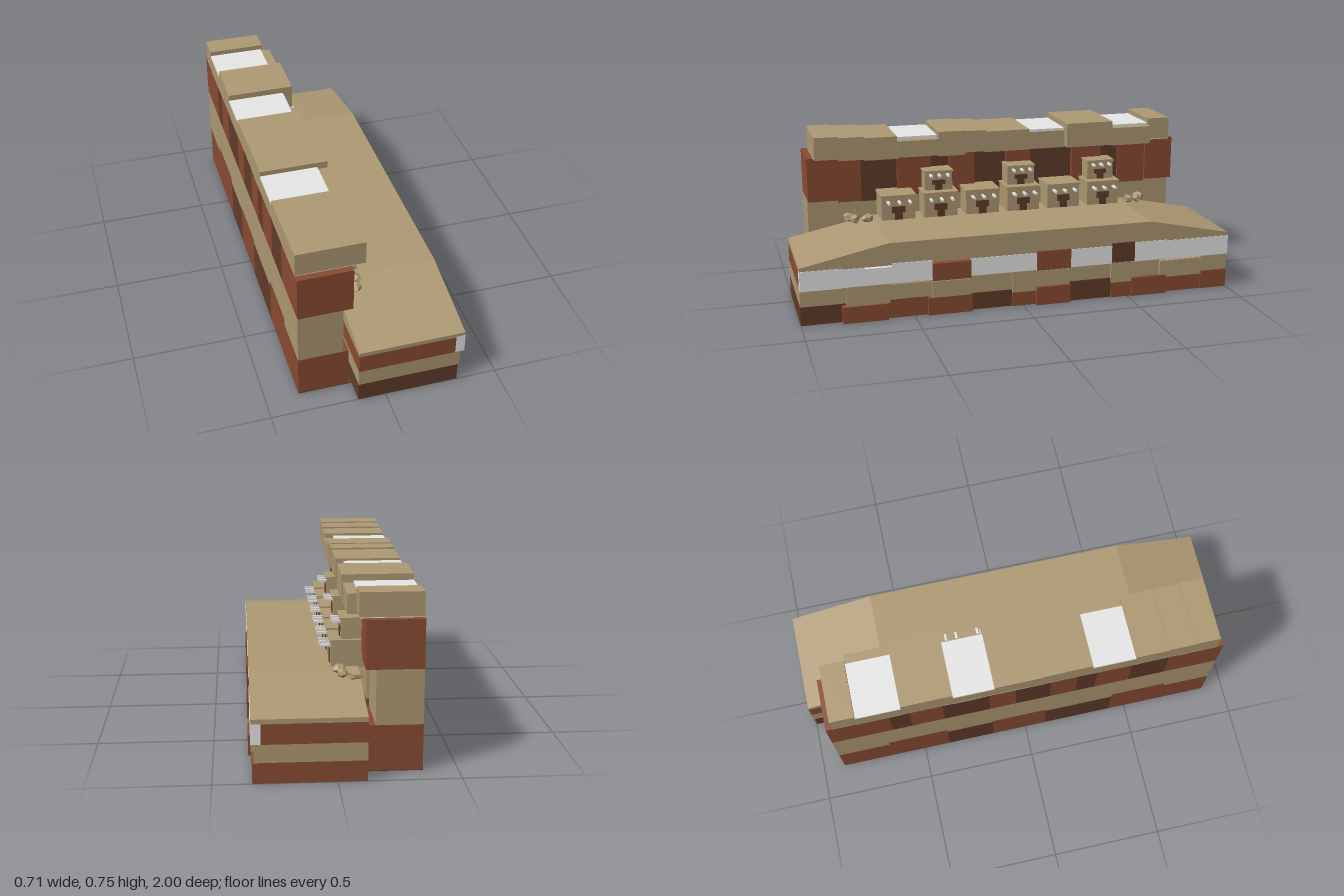
import * as THREE from 'three';

const mat = (name, color) => {
  const m = new THREE.MeshStandardMaterial({ color });
  m.name = name;
  return m;
};

export function createModel() {
  const root = new THREE.Group();
  root.name = 'cliffDwelling';
  const tan = mat('sandstone', 0xae9973);
  const rust = mat('redRock', 0x894b33);
  const dark = mat('darkRock', 0x613b29);
  const pale = mat('paleStone', 0xebebeb);

  const add = (parent, geo, m, name) => {
    const mesh = new THREE.Mesh(geo, m);
    mesh.name = name;
    parent.add(mesh);
    return mesh;
  };
  // Box given by its extents on each axis
  const box = (parent, name, m, x0, x1, y0, y1, z0, z1) => {
    const b = add(parent, new THREE.BoxGeometry(x1 - x0, y1 - y0, z1 - z0), m, name);
    b.position.set((x0 + x1) / 2, (y0 + y1) / 2, (z0 + z1) / 2);
  };
  const group = (name) => {
    const g = new THREE.Group();
    g.name = name;
    root.add(g);
    return g;
  };

  // ---- Mesa: stacked strata under a sloped cap ----
  const mesa = group('mesa');
  box(mesa, 'bottomStratum', dark, -0.12, 0.315, 0, 0.087, -0.992, 1);
  box(mesa, 'bottomStratumEnd', rust, -0.12, 0.315, 0, 0.087, -1, -0.992);
  box(mesa, 'sandStratum', tan, -0.12, 0.325, 0.087, 0.163, -1, 1);
  box(mesa, 'redStratum', rust, -0.12, 0.305, 0.163, 0.248, -1, 1);
  const s = new THREE.Shape();
  [[-1, 0.248], [1, 0.248], [1, 0.268], [0.61, 0.35], [-0.61, 0.35], [-1, 0.268]]
    .forEach(([x, y], i) => (i ? s.lineTo(x, y) : s.moveTo(x, y)));
  const cap = add(mesa, new THREE.ExtrudeGeometry(s, { depth: 0.464, bevelEnabled: false }), tan, 'mesaCap');
  cap.rotation.y = Math.PI / 2;
  cap.position.x = -0.12;

  // Pale band in stretches of slightly uneven height: [z start, z end, bottom, top]
  [
    [1, 0.82, 0.163, 0.253], [0.82, 0.72, 0.165, 0.248], [0.72, 0.6, 0.165, 0.242], [0.6, 0.42, 0.165, 0.257],
    [0.42, 0.245, 0.165, 0.235], [0.245, -0.06, 0.167, 0.248], [-0.06, -0.22, 0.17, 0.248],
    [-0.22, -0.42, 0.165, 0.25], [-0.42, -0.53, 0.172, 0.248], [-0.53, -0.69, 0.165, 0.257], [-0.69, -1, 0.163, 0.253],
  ].forEach(([a, b, y0, y1]) => box(mesa, 'paleBand', pale, 0.305, 0.346, y0, y1, b, a));

  // Facing blocks along the foot: [z start, z end, top, depth, material]
  [
    [1, 0.82, 0.087, 0.322, dark], [0.82, 0.62, 0.075, 0.35, rust], [0.62, 0.44, 0.087, 0.33, rust],
    [0.44, 0.24, 0.08, 0.345, rust], [0.24, 0.05, 0.078, 0.325, dark], [0.05, -0.06, 0.065, 0.332, rust],
    [-0.06, -0.22, 0.085, 0.353, rust], [-0.22, -0.42, 0.092, 0.335, dark], [-0.42, -0.52, 0.07, 0.345, rust],
    [-0.52, -0.69, 0.087, 0.353, rust], [-0.69, -0.87, 0.073, 0.335, rust], [-0.87, -1, 0.085, 0.34, rust],
  ].forEach(([a, b, top, x, m]) => box(mesa, 'footBlock', m, 0.3, x, 0, top, b, a));

  // Sandstone blocks: [z start, z end, bottom, top, depth]
  [
    [1, 0.8, 0.087, 0.163, 0.328], [0.8, 0.61, 0.075, 0.165, 0.34], [0.61, 0.42, 0.086, 0.155, 0.332],
    [0.42, 0.25, 0.08, 0.155, 0.343], [0.25, 0.05, 0.08, 0.165, 0.33], [0.05, -0.06, 0.066, 0.165, 0.338],
    [-0.06, -0.22, 0.087, 0.16, 0.343], [-0.22, -0.42, 0.092, 0.163, 0.328], [-0.42, -0.53, 0.07, 0.165, 0.34],
    [-0.53, -0.66, 0.087, 0.163, 0.33], [-0.66, -0.87, 0.074, 0.155, 0.343], [-0.87, -1, 0.086, 0.163, 0.333],
  ].forEach(([a, b, y0, y1, x]) => box(mesa, 'sandBlock', tan, 0.31, x, y0, y1, b, a));

  // Coloured panels standing proud of the pale band
  box(mesa, 'bandPanel', rust, 0.31, 0.351, 0.16, 0.24, 0.245, 0.42);
  box(mesa, 'bandPanel', rust, 0.31, 0.353, 0.165, 0.255, -0.22, -0.06);
  box(mesa, 'bandPanel', dark, 0.31, 0.351, 0.17, 0.262, -0.53, -0.42);

  // ---- Cliff wall behind the houses ----
  const cliff = group('cliff');
  const X = -0.355;
  box(cliff, 'footing', dark, X, -0.12, 0, 0.003, -0.9, 0.9);
  // Lower and middle courses: [z start, z end, top, lower depth, middle depth, material]
  [
    [0.9, 0.68, 0.197, -0.135, -0.16, rust], [0.68, 0.42, 0.23, -0.12, -0.148, rust],
    [0.42, 0.1, 0.197, -0.125, -0.12, dark], [0.1, -0.16, 0.215, -0.12, -0.148, rust],
    [-0.16, -0.38, 0.2, -0.125, -0.12, dark], [-0.38, -0.66, 0.23, -0.12, -0.148, rust],
    [-0.66, -0.9, 0.197, -0.12, -0.16, rust],
  ].forEach(([a, b, top, x, mid, m]) => {
    box(cliff, 'lowerCourse', m, X, x, 0.003, top, b, a);
    box(cliff, 'middleCourse', tan, X, mid, top, 0.43, b, a);
  });
  // Upper course: [z start, z end, bottom, depth, material]
  [
    [0.9, 0.76, 0.43, -0.118, rust], [0.76, 0.65, 0.415, -0.14, rust], [0.65, 0.48, 0.412, -0.145, dark],
    [0.48, 0.32, 0.43, -0.125, rust], [0.32, 0.23, 0.42, -0.14, dark], [0.23, 0.11, 0.43, -0.12, rust],
    [0.11, -0.05, 0.415, -0.145, dark], [-0.05, -0.17, 0.43, -0.13, rust], [-0.17, -0.38, 0.42, -0.145, dark],
    [-0.38, -0.53, 0.43, -0.125, rust], [-0.53, -0.62, 0.415, -0.14, dark], [-0.62, -0.76, 0.42, -0.13, rust],
    [-0.76, -0.9, 0.43, -0.118, rust],
  ].forEach(([a, b, y0, x, m]) => {
    box(cliff, 'upperCourse', m, X, x, 0.43, 0.635, b, a);
    if (y0 < 0.43) box(cliff, 'upperCourseFoot', m, -0.2, x, y0, 0.43, b, a);
  });

  // ---- Overhanging rim; low stretches show pale stone on top ----
  const rim = group('rim');
  box(rim, 'paleSeam', pale, X, -0.096, 0.634, 0.638, -0.87, 0.87);
  // [z start, z end, bottom, top, depth, depth of pale top]
  [
    [0.87, 0.76, 0.638, 0.743, -0.06], [0.76, 0.64, 0.63, 0.737, -0.06], [0.64, 0.49, 0.625, 0.73, -0.058],
    [0.49, 0.295, 0.63, 0.707, -0.055, -0.1], [0.295, 0.17, 0.625, 0.74, -0.055], [0.17, 0.07, 0.635, 0.736, -0.058],
    [0.07, -0.145, 0.63, 0.728, -0.06], [-0.145, -0.33, 0.625, 0.707, -0.088, -0.095],
    [-0.33, -0.56, 0.63, 0.745, -0.05], [-0.56, -0.76, 0.625, 0.71, -0.055, -0.1],
    [-0.76, -0.87, 0.638, 0.74, -0.093],
  ].forEach(([a, b, y0, y1, x, paleX]) => {
    box(rim, 'rimBlock', tan, X, x, y0, y1, b, a);
    if (paleX) box(rim, 'paleTop', pale, X, paleX, y1, 0.718, b, a);
  });

  // ---- Houses with roof slab, T-shaped door and projecting roof beams ----
  const house = (name, z, y0, y1, x, w, door, beamY, beamEnd, beamGap) => {
    const g = group(name);
    box(g, 'walls', tan, -0.16, x, y0, y1 - 0.009, z - w / 2, z + w / 2);
    const rw = w / 2 + 0.004;
    box(g, 'roof', tan, -0.16, x + 0.006, y1 - 0.009, y1, z - rw, z + rw);
    const f = x + 0.003;
    const sill = y0 + door * 0.55;
    box(g, 'doorLower', dark, x - 0.002, f, y0, sill, z - 0.018, z + 0.018);
    box(g, 'doorUpper', dark, x - 0.002, f, sill, y0 + door, z - 0.031, z + 0.031);
    for (let i = -1; i <= 1; i++) {
      const c = z + i * beamGap;
      box(g, 'roofBeam', pale, x - 0.01, beamEnd, beamY - 0.005, beamY + 0.005, c - 0.005, c + 0.005);
    }
  };
  for (let i = 0; i < 6; i++) {
    house('lowerHouse', 0.5 - i * 0.2, 0.345, 0.467, -0.005, 0.158, 0.068, 0.437, 0.042, 0.05);
  }
  for (const z of [0.3, -0.1, -0.5]) house('upperHouse', z, 0.467, 0.56, -0.048, 0.13, 0.048, 0.54, -0.009, 0.04);

  // ---- Angular boulders at both ends of the village ----
  const rocks = group('boulders');
  const boulder = (x, y, z, sx, sy, sz, turn) => {
    const r = add(rocks, new THREE.DodecahedronGeometry(1, 0), tan, 'boulder');
    const p = r.geometry.attributes.position;
    // Taper each block towards one end so it reads as a broken wedge
    for (let i = 0; i < p.count; i++) {
      const k = 1 + 0.4 * p.getX(i);
      p.setXYZ(i, p.getX(i), p.getY(i) * k, p.getZ(i) * k);
    }
    r.geometry.computeVertexNormals();
    r.scale.set(sx, sy, sz);
    r.position.set(x, y, z);
    r.rotation.y = turn;
  };
  for (const side of [-1, 1]) {
    boulder(-0.098, 0.355, side * 0.72, 0.04, 0.02, 0.028, 0.4 * side);
    boulder(-0.043, 0.357, side * 0.7, 0.026, 0.02, 0.024, 1.3 * side);
    boulder(-0.03, 0.36, side * 0.645, 0.03, 0.02, 0.026, 2.2 * side);
  }
  return root;
}
